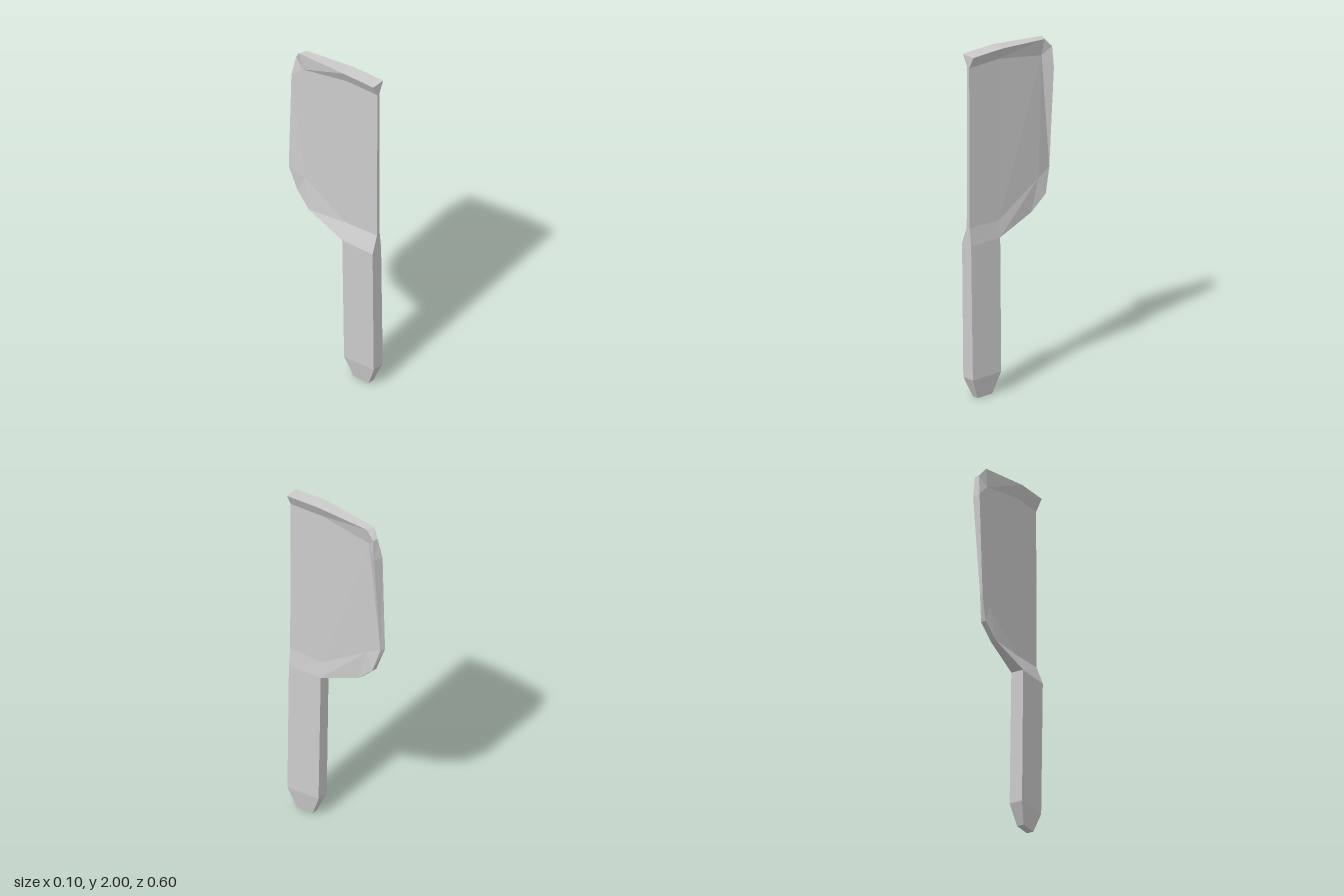
import * as THREE from 'three';

// Each point: y, z, then x on the right-hand (-x) and left-hand (+x) skin
const points = {
  tipFront: [2, 0.3, -0.043, 0.042],
  tipMid: [2, 0.09, -0.042, 0.042],
  tipBack: [1.97, -0.24, -0.012, 0.034],
  cornerA: [1.92, -0.277, 0.012, 0.043],
  cornerB: [1.8, -0.298, -0.004, 0.048],
  backLow: [1.2, -0.3, -0.024, 0.0],
  heelA: [1.06, -0.25, -0.013, 0.018],
  heelB: [0.975, -0.16, -0.026, 0.01],
  neckBack: [0.895, 0.09, -0.05, 0.024],
  gripBack: [0.12, 0.095, -0.04, 0.038],
  buttBack: [0, 0.145, -0.02, 0.02],
  buttFront: [0, 0.25, -0.02, 0.02],
  gripFront: [0.12, 0.3, -0.04, 0.038],
  neckFront: [0.895, 0.3, -0.05, 0.024],
  edgeLow: [1.0, 0.3, -0.012, 0.012],
  edgeTop: [1.93, 0.3, -0.008, 0.008],
  // thin panel inside the raised rim
  panelTop: [1.93, 0.09, -0.008, 0.008],
  panelTopBack: [1.87, -0.22, -0.007, 0.012],
  panelLowBack: [1.16, -0.2, -0.01, 0.008],
  panelLow: [0.99, 0.09, -0.012, 0.012],
};
// back rim points lean: the left-hand skin sits slightly further forward
const lean = { tipBack: 0.02, cornerA: 0.009, cornerB: 0.021, backLow: 0.014, heelA: 0.006, heelB: 0.012 };

// Builds a flat-shaded shell from side polygons (mirrored on both skins) and rim chains
function shell(name, sides, rims) {
  const pos = [];
  const at = (key, s) => {
    const [y, z, xl, xr] = points[key];
    return s ? [xr, y, z + (lean[key] || 0)] : [xl, y, z];
  };
  const face = (c) => {
    for (let i = 1; i < c.length - 1; i++) pos.push(...c[0], ...c[i], ...c[i + 1]);
  };
  for (const keys of sides) {
    face(keys.map((k) => at(k, 0)));
    face(keys.map((k) => at(k, 1)).reverse());
  }
  for (const chain of rims) {
    for (let i = 0; i < chain.length - 1; i++) {
      const a = chain[i], b = chain[i + 1];
      face([at(a, 0), at(a, 1), at(b, 1), at(b, 0)]);
    }
  }
  const geo = new THREE.BufferGeometry();
  geo.setAttribute('position', new THREE.Float32BufferAttribute(pos, 3));
  geo.computeVertexNormals();
  const mat = new THREE.MeshStandardMaterial({ color: 0xcccccc, flatShading: true, side: THREE.DoubleSide });
  const mesh = new THREE.Mesh(geo, mat);
  mesh.name = name;
  return mesh;
}

export function createModel() {
  const group = new THREE.Group();
  group.name = 'cleaver';

  // Blade: thin panel, flared rim and twisted back
  group.add(shell('blade', [
    ['tipFront', 'tipMid', 'panelTop', 'edgeTop'],
    ['tipMid', 'tipBack', 'panelTopBack', 'panelTop'],
    ['tipBack', 'cornerA', 'panelTopBack'],
    ['cornerA', 'cornerB', 'panelTopBack'],
    ['cornerB', 'backLow', 'panelLowBack', 'panelTopBack'],
    ['backLow', 'heelA', 'panelLowBack'],
    ['heelA', 'heelB', 'panelLowBack'],
    ['heelB', 'neckBack', 'panelLow', 'panelLowBack'],
    ['edgeTop', 'panelTop', 'panelLow', 'edgeLow'],
    ['panelTop', 'panelTopBack', 'panelLowBack', 'panelLow'],
    ['edgeLow', 'panelLow', 'neckBack', 'neckFront'],
  ], [
    ['neckFront', 'edgeLow', 'edgeTop', 'tipFront', 'tipMid', 'tipBack',
      'cornerA', 'cornerB', 'backLow', 'heelA', 'heelB', 'neckBack'],
  ]));

  // Handle: straight grip with a tapered butt
  group.add(shell('handle', [
    ['neckFront', 'neckBack', 'gripBack', 'gripFront'],
    ['gripFront', 'gripBack', 'buttBack', 'buttFront'],
  ], [
    ['neckBack', 'gripBack', 'buttBack', 'buttFront', 'gripFront', 'neckFront'],
  ]));

  return group;
}
